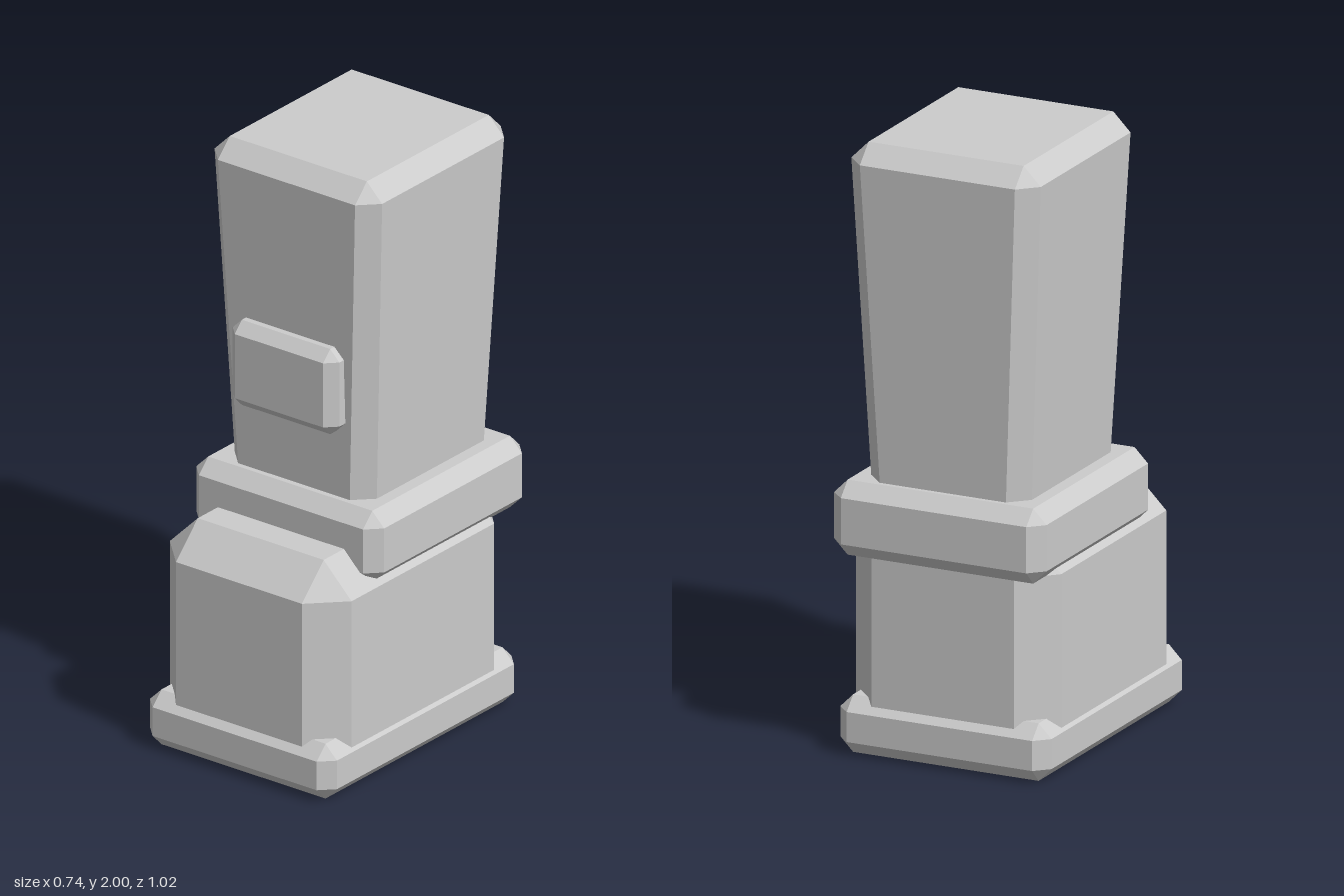
import * as THREE from 'three';
import { ConvexGeometry } from 'three/addons/geometries/ConvexGeometry.js';

const material = new THREE.MeshStandardMaterial({ color: 0xcccccc, flatShading: true });

// Box with every edge cut at 45 degrees by c; the foot of it may be narrower than the top.
// y and z are [min, max] ranges, halfX is the half width, bottom is [halfX, halfZ] at the base.
function chamferBox(name, halfX, y, z, c, bottom) {
  const halfZ = (z[1] - z[0]) / 2;
  const midZ = (z[0] + z[1]) / 2;
  const points = [];
  for (const top of [false, true]) {
    const [w, d] = top || !bottom ? [halfX, halfZ] : bottom;
    const cap = top ? y[1] : y[0];
    const side = top ? y[1] - c : y[0] + c;
    for (const sx of [-1, 1]) {
      for (const sz of [-1, 1]) {
        points.push(
          new THREE.Vector3(sx * w, side, midZ + sz * (d - c)),
          new THREE.Vector3(sx * (w - c), side, midZ + sz * d),
          new THREE.Vector3(sx * (w - c), cap, midZ + sz * (d - c))
        );
      }
    }
  }
  const mesh = new THREE.Mesh(new ConvexGeometry(points), material);
  mesh.name = name;
  return mesh;
}

export function createModel() {
  const boot = new THREE.Group();
  boot.name = 'boot';
  boot.add(
    chamferBox('sole', 0.368, [0, 0.188], [-0.472, 0.512], 0.045),
    chamferBox('foot', 0.358, [0.04, 0.765], [-0.45, 0.49], 0.11),
    chamferBox('ankleBand', 0.37, [0.655, 0.9], [-0.512, 0.278], 0.047),
    // Shaft widens towards the top
    chamferBox('shaft', 0.33, [0.78, 2], [-0.486, 0.25], 0.06, [0.277, 0.328]),
    chamferBox('shinPlate', 0.21, [1.128, 1.42], [0.13, 0.288], 0.036)
  );
  return boot;
}
